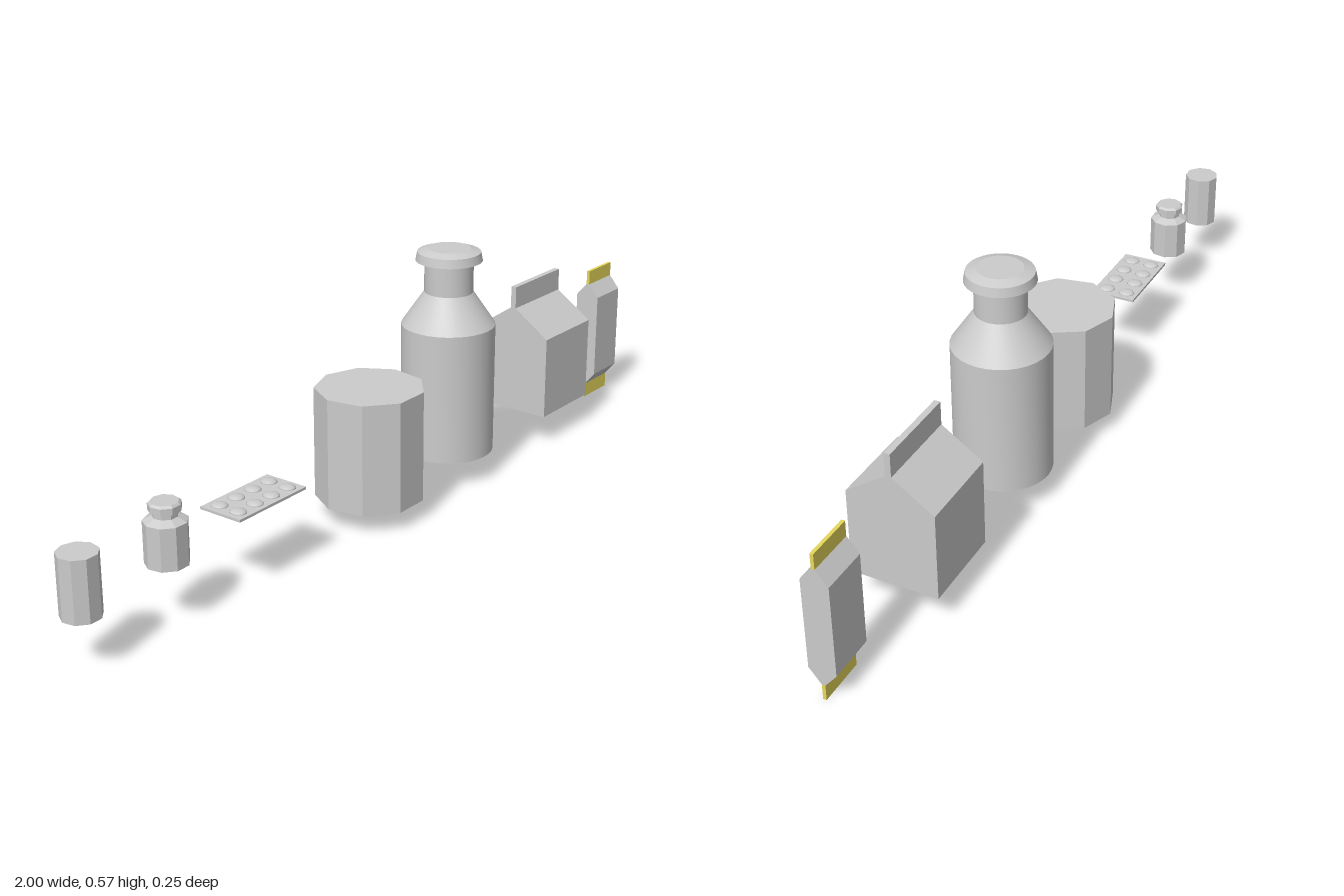
import * as THREE from 'three';
import { toCreasedNormals } from 'three/addons/utils/BufferGeometryUtils.js';

const Z = 0.004; // common centre line of the row
const flatGrey = new THREE.MeshStandardMaterial({ color: 0xcccccc, flatShading: true });
const smoothGrey = new THREE.MeshStandardMaterial({ color: 0xcccccc });
const yellow = new THREE.MeshStandardMaterial({ color: 0xe6d85c, flatShading: true });

function part(parent, name, geometry, material, x = 0, y = 0, z = 0) {
  const mesh = new THREE.Mesh(geometry, material);
  mesh.name = name;
  mesh.position.set(x, y, z);
  parent.add(mesh);
  return mesh;
}

function item(root, name, x, y) {
  const group = new THREE.Group();
  group.name = name;
  group.position.set(x, y, Z);
  root.add(group);
  return group;
}

// Turned shape from [radius, height] pairs, one corner pointing backwards
function turned(profile, sides) {
  const points = profile.map(([r, y]) => new THREE.Vector2(r, y));
  return new THREE.LatheGeometry(points, sides, Math.PI);
}

// Symmetric side outline from [half depth, height] pairs, extruded along x
function slab(halfOutline, width) {
  const right = halfOutline.map(([z, y]) => new THREE.Vector2(z, y));
  const left = halfOutline.map(([z, y]) => new THREE.Vector2(-z, y)).reverse();
  const geometry = new THREE.ExtrudeGeometry(new THREE.Shape([...right, ...left]), {
    depth: width, bevelEnabled: false,
  });
  return geometry.translate(0, 0, -width / 2).rotateY(Math.PI / 2);
}

export function createModel() {
  const root = new THREE.Group();
  root.name = 'containers';

  // Nine-sided cans
  const smallCan = item(root, 'smallCan', -0.958, 0.115);
  part(smallCan, 'smallCanBody', turned([[0, 0], [0.043, 0], [0.043, 0.135], [0, 0.135]], 9), flatGrey);
  const largeCan = item(root, 'largeCan', -0.063, 0.048);
  part(largeCan, 'largeCanBody', turned([[0, 0], [0.127, 0], [0.127, 0.264], [0, 0.264]], 9), flatGrey);

  // Small vial with a wider cap
  const vial = item(root, 'vial', -0.724, 0.134);
  part(vial, 'vialBody', turned(
    [[0, 0], [0.047, 0], [0.047, 0.094], [0.027, 0.104], [0.027, 0.12]], 9), flatGrey);
  part(vial, 'vialCap', turned(
    [[0, 0.117], [0.035, 0.117], [0.035, 0.131], [0.03, 0.136], [0, 0.136]], 9), flatGrey);

  // Blister pack: thin card with two rows of shallow pockets
  const blister = item(root, 'blisterPack', -0.462, 0.178);
  part(blister, 'blisterCard', new THREE.BoxGeometry(0.211, 0.006, 0.11), flatGrey, 0, 0.003, 0);
  const pocket = new THREE.SphereGeometry(1, 10, 4, 0, Math.PI * 2, 0, Math.PI / 2)
    .scale(0.018, 0.007, 0.02);
  for (let i = 0; i < 4; i++) {
    for (const side of [-1, 1]) {
      part(blister, 'blisterPocket', pocket, smoothGrey, (i - 1.5) * 0.052, 0.006, side * 0.026);
    }
  }

  // Large bottle with sloping shoulder and chamfered cap
  const bottle = item(root, 'bottle', 0.242, 0.067);
  const bottleBody = turned(
    [[0, 0], [0.112, 0], [0.112, 0.316], [0.058, 0.395], [0.058, 0.475]], 32);
  part(bottle, 'bottleBody', toCreasedNormals(bottleBody, 0.5), smoothGrey);
  const bottleCap = turned(
    [[0, 0.471], [0.079, 0.471], [0.075, 0.492], [0.051, 0.5], [0, 0.5]], 32);
  part(bottle, 'bottleCap', toCreasedNormals(bottleCap, 0.3), smoothGrey);

  // Gable-topped carton with upright fin
  const carton = item(root, 'carton', 0.626, 0.077);
  part(carton, 'cartonBody', slab(
    [[0.101, 0], [0.101, 0.205], [0.007, 0.27]], 0.202), flatGrey);
  part(carton, 'cartonFin', slab([[0.007, 0.27], [0.007, 0.325]], 0.202), flatGrey);

  // Sachet pinched into a flat seal at both ends
  const sachet = item(root, 'sachet', 0.945, 0);
  part(sachet, 'sachetBody', slab(
    [[0.004, 0.037], [0.0315, 0.071], [0.0315, 0.287], [0.004, 0.32]], 0.11), flatGrey);
  part(sachet, 'bottomSeal', slab([[0.004, 0], [0.004, 0.037]], 0.11), yellow);
  part(sachet, 'topSeal', slab([[0.004, 0.32], [0.004, 0.356]], 0.11), yellow);

  return root;
}
